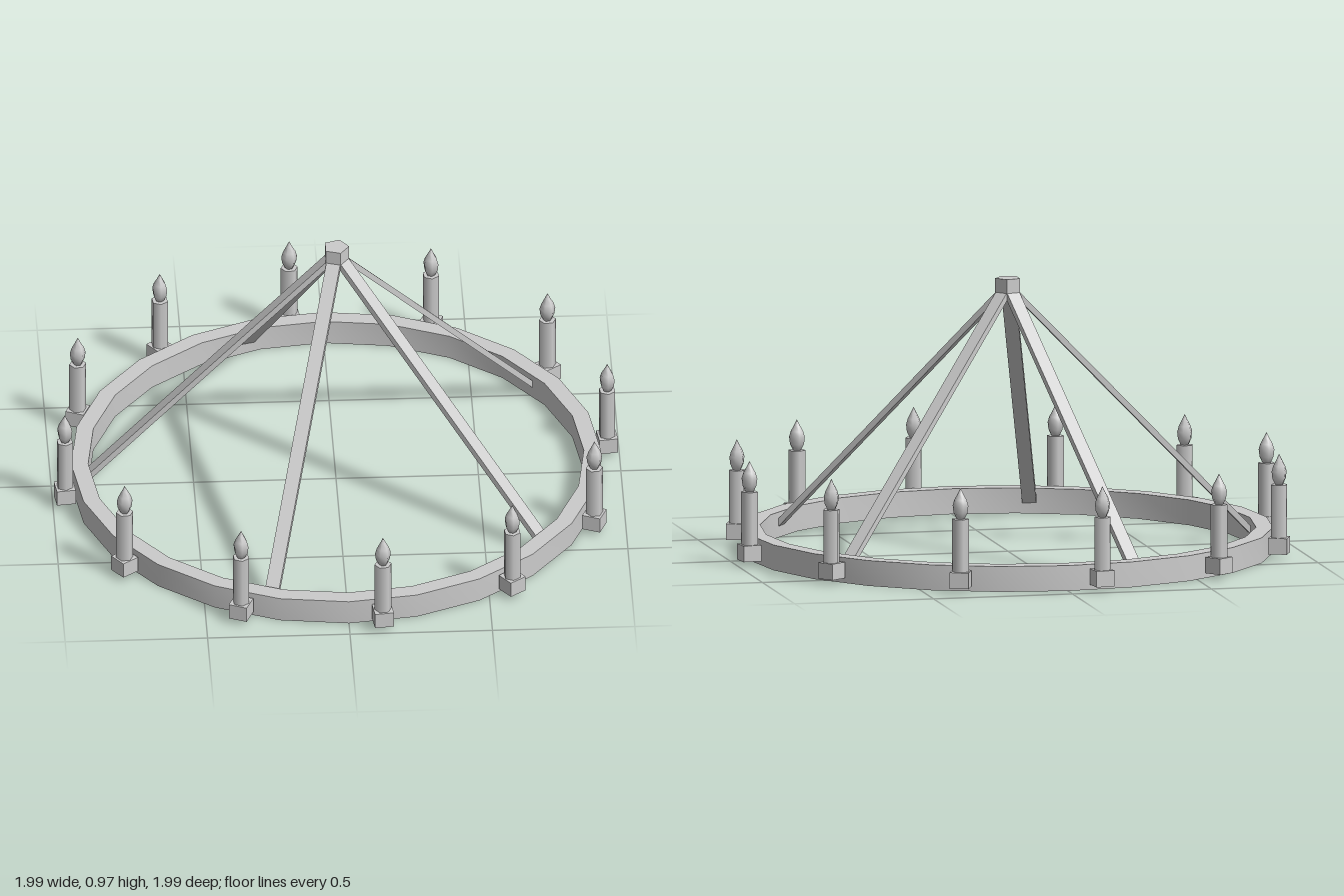
import * as THREE from 'three';
import { toCreasedNormals } from 'three/addons/utils/BufferGeometryUtils.js';

const material = new THREE.MeshStandardMaterial({ color: 0xcccccc });
const flatMaterial = new THREE.MeshStandardMaterial({ color: 0xcccccc, flatShading: true });

function addMesh(parent, name, geometry, mat = material) {
  const mesh = new THREE.Mesh(geometry, mat);
  mesh.name = name;
  parent.add(mesh);
  return mesh;
}

const points = (list) => list.map(([x, y]) => new THREE.Vector2(x, y));

export function createModel() {
  const model = new THREE.Group();
  model.name = 'chandelier';

  // Ring: rectangular section swept round 24 sides
  const ringProfile = points([[0.87, 0], [0.93, 0], [0.93, 0.09], [0.87, 0.09], [0.87, 0]]);
  addMesh(model, 'ring', toCreasedNormals(new THREE.LatheGeometry(ringProfile, 24), 0.6));

  // Five-sided hub with one corner towards +x
  const hub = addMesh(model, 'hub', new THREE.CylinderGeometry(0.046, 0.046, 0.055, 5), flatMaterial);
  hub.position.y = 0.943;
  hub.rotation.y = Math.PI / 2;

  // Five flat bars sloping from the hub to the inside of the ring
  const run = 0.875, top = 0.945, foot = 0.042;
  const barGeometry = new THREE.BoxGeometry(Math.hypot(run, top - foot), 0.02, 0.05);
  for (let i = 0; i < 5; i++) {
    const arm = new THREE.Group();
    arm.name = 'supportArm';
    arm.rotation.y = Math.PI + (i * Math.PI * 2) / 5;
    const bar = addMesh(arm, 'supportBar', barGeometry);
    bar.position.set(run / 2, (top + foot) / 2, 0);
    bar.rotation.z = -Math.atan2(top - foot, run);
    model.add(arm);
  }

  // Twelve candles on square holders outside the ring
  const holderGeometry = new THREE.BoxGeometry(0.067, 0.057, 0.067);
  const candleGeometry = new THREE.CylinderGeometry(0.03, 0.03, 0.19, 6);
  const flameGeometry = new THREE.LatheGeometry(points([
    [0, 0.255], [0.014, 0.262], [0.025, 0.285], [0.028, 0.31], [0.022, 0.33], [0.01, 0.352], [0, 0.372],
  ]), 6);
  for (let i = 0; i < 12; i++) {
    const angle = THREE.MathUtils.degToRad(30 * i - 7);
    const unit = new THREE.Group();
    unit.name = 'candleUnit';
    unit.position.set(0.965 * Math.cos(angle), 0, 0.965 * Math.sin(angle));
    unit.rotation.y = -angle;
    addMesh(unit, 'holder', holderGeometry).position.y = 0.0475;
    addMesh(unit, 'candle', candleGeometry).position.y = 0.168;
    addMesh(unit, 'flame', flameGeometry);
    model.add(unit);
  }
  return model;
}
